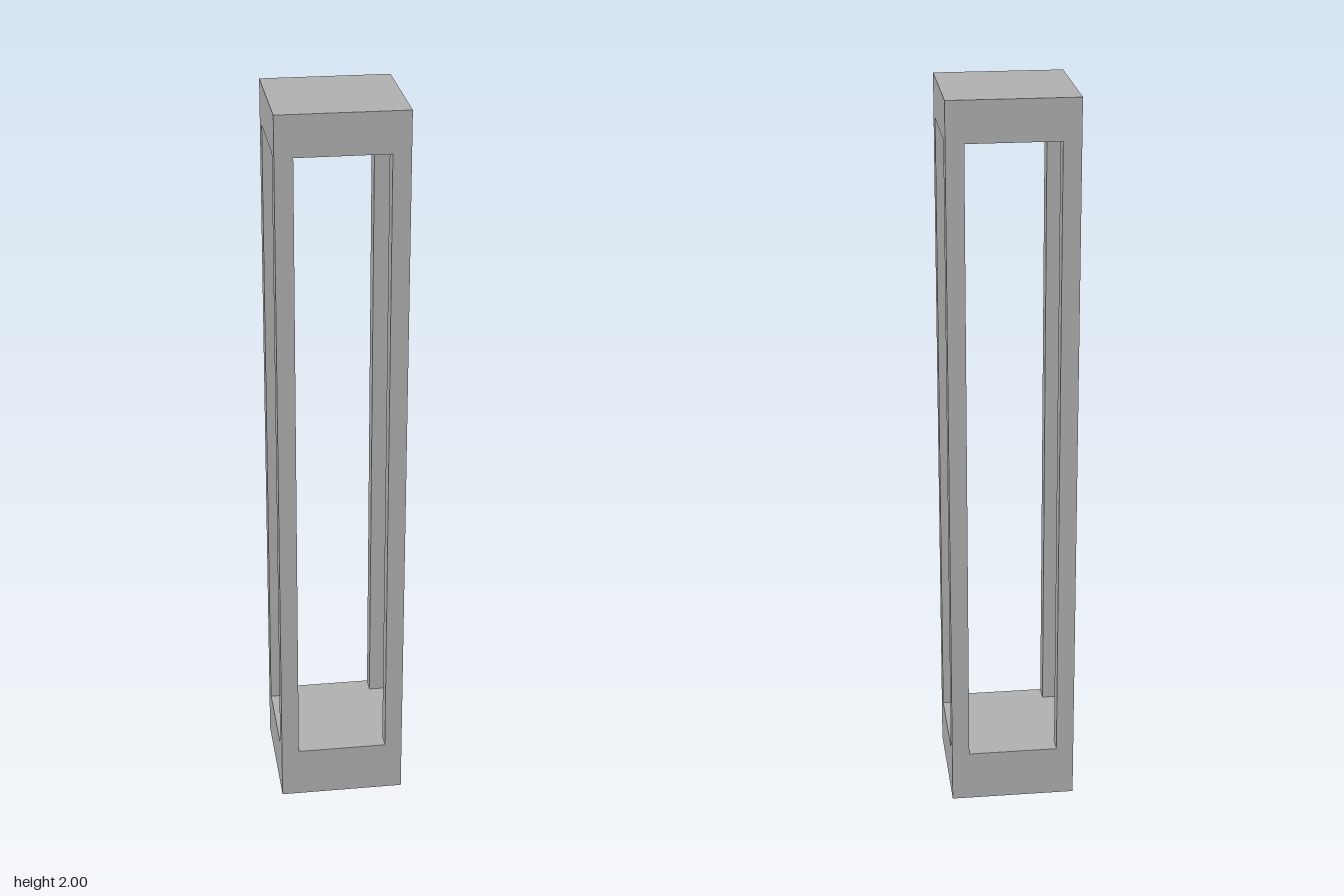
import * as THREE from 'three';

const WIDTH = 0.344;      // outer side of the square plan
const POST = 0.048;       // side of each corner post
const BASE_TOP = 0.143;
const CAP_BOTTOM = 1.89;
const HEIGHT = 2;

export function createModel() {
  const model = new THREE.Group();
  model.name = 'openSquareColumn';
  const grey = new THREE.MeshStandardMaterial({ color: 0xb2b2b2 });
  grey.name = 'grey';

  // Square block spanning y0 to y1
  const addBlock = (name, side, y0, y1, x = 0, z = 0) => {
    const mesh = new THREE.Mesh(new THREE.BoxGeometry(side, y1 - y0, side), grey);
    mesh.name = name;
    mesh.position.set(x, (y0 + y1) / 2, z);
    model.add(mesh);
  };

  addBlock('base', WIDTH, 0, BASE_TOP);
  addBlock('cap', WIDTH, CAP_BOTTOM, HEIGHT);

  // Four corner posts, flush with the outer faces
  const offset = (WIDTH - POST) / 2;
  for (const [sideName, sx] of [['Left', 1], ['Right', -1]]) {
    for (const [endName, sz] of [['front', 1], ['back', -1]]) {
      addBlock(`${endName}${sideName}Post`, POST, BASE_TOP, CAP_BOTTOM, sx * offset, sz * offset);
    }
  }
  return model;
}
